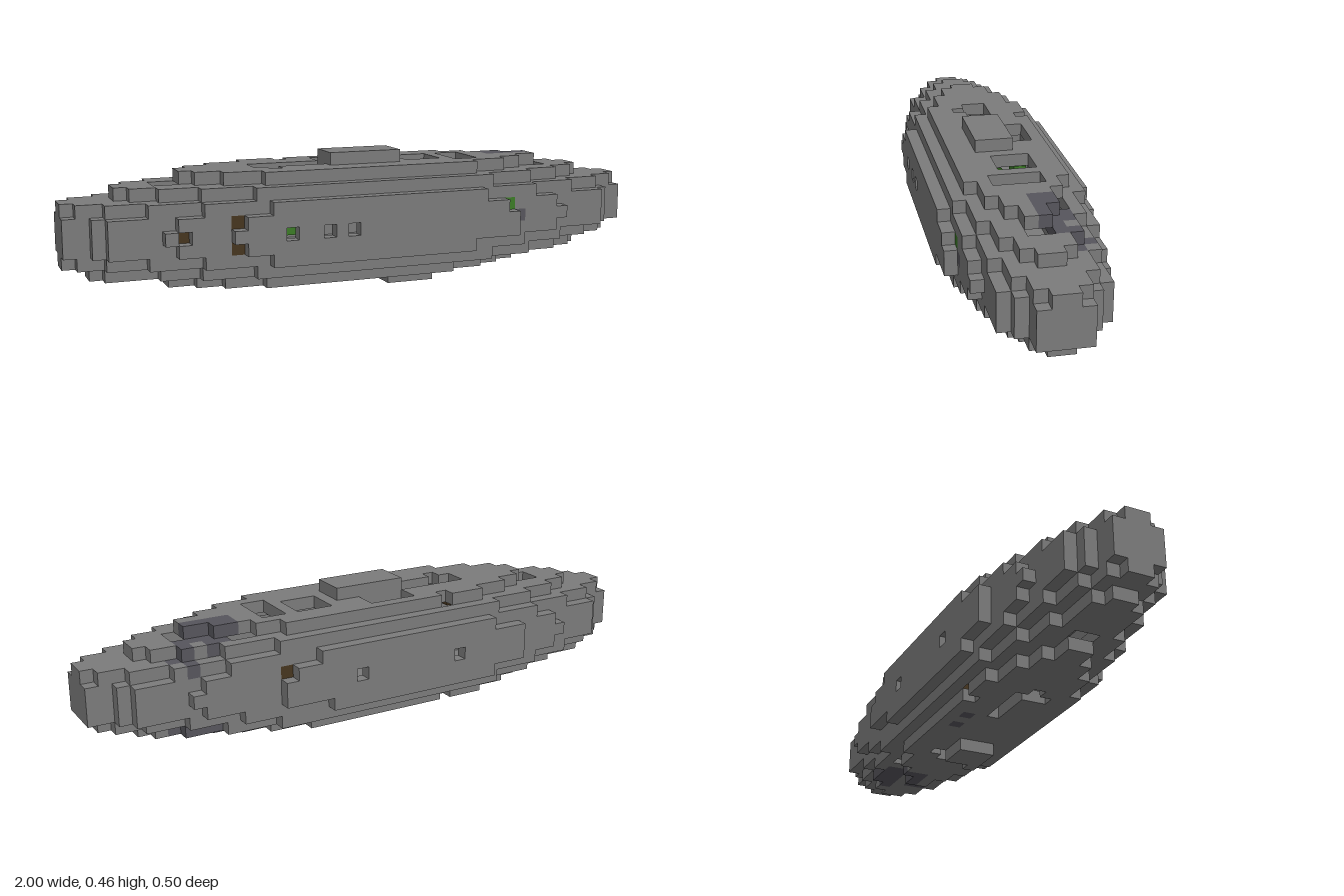
import * as THREE from 'three';

const S = 1 / 24; // block size

// Half-length in blocks: row = height above/below the middle, column = distance from the centre plane
const HALF = [
  [24, 24, 22, 21, 17, 12],
  [24, 24, 22, 21, 16, 12],
  [24, 23, 21, 18, 14, 9],
  [20, 19, 17, 14, 10, 0],
  [16, 14, 12, 9, 0, 0],
];

// Is block (x, y, z) within the solid outline of the hull?
function inHull(x, y, z) {
  const dy = Math.abs(y - 5);
  const k = z >= 0 ? z : -z - 1;
  if (dy > 4 || k > 5) return false;
  const half = HALF[dy][k];
  if (!half) return false;
  let min = -half, max = half - 1;
  if (y === 1) max -= 2;                 // shorter keel at the left end
  if (y === 2 && k < 2) min -= 2;        // longer belly at the right end
  if (y === 3) max -= 1;
  if (k === 5 && z < 0) max -= 2;
  return x >= min && x <= max;
}

const DIRS = [[1, 0, 0], [-1, 0, 0], [0, 1, 0], [0, -1, 0], [0, 0, 1], [0, 0, -1]];

function createBlocks() {
  const blocks = new Map();
  const key = (x, y, z) => `${x},${y},${z}`;
  const fill = (x0, x1, y0, y1, z0, z1, kind, onlyExisting = false) => {
    for (let x = x0; x <= x1; x++)
      for (let y = y0; y <= y1; y++)
        for (let z = z0; z <= z1; z++) {
          const id = key(x, y, z);
          if (onlyExisting && !blocks.has(id)) continue;
          if (kind) blocks.set(id, kind);
          else blocks.delete(id);
        }
  };

  // Hollow hull, one block thick
  for (let x = -24; x < 24; x++)
    for (let y = 0; y < 11; y++)
      for (let z = -6; z < 6; z++)
        if (inHull(x, y, z) && DIRS.some(([a, b, c]) => !inHull(x + a, y + b, z + c)))
          blocks.set(key(x, y, z), 'hull');

  // Raised deck slab and keel slab
  fill(-3, 2, 10, 10, -1, 1, 'hull');
  fill(2, 5, 0, 0, -1, 1, 'hull');

  // Openings in the deck: x0, x1, z0, z1
  for (const [x0, x1, z0, z1] of [
    [-17, -16, -1, 0], [-9, -4, -1, 0], [-8, -8, 1, 1], [-6, -6, -4, -4], [-3, 0, -3, -2],
    [4, 6, -2, 0], [8, 9, -2, 1], [11, 12, -3, -3], [16, 16, -1, 0],
  ]) fill(x0, x1, 7, 9, z0, z1, null);

  // Openings in the belly
  for (const [x0, x1, z0, z1] of [
    [-17, -17, -1, 0], [-9, -8, 0, 0], [-8, -4, -1, -1], [-8, -8, 1, 1], [-6, -6, -4, -4],
    [5, 5, -2, -1], [6, 6, -1, 0], [5, 5, 0, 0], [11, 11, -3, -3],
  ]) fill(x0, x1, 0, 3, z0, z1, null);

  // Portholes along the front, and two at the back
  for (const x of [-8, -5, -3]) fill(x, x, 5, 5, 5, 5, null);
  for (const x of [-6, 3]) fill(x, x, 5, 5, -6, -6, null);

  // Timber in the hull side: x, y, outer z
  for (const [x, y, z] of [[-16, 5, 4], [-12, 6, 5], [-12, 4, 5]]) {
    fill(x, x, y, y, z, z, null);
    fill(x, x, y, y, z - 1, z - 1, 'timber');
  }
  fill(9, 9, 6, 6, -6, -6, null);
  fill(9, 9, 6, 6, -5, -5, 'timber');

  // Timber beams below the deck
  fill(4, 4, 6, 6, -2, 0, 'timber');
  fill(8, 8, 6, 6, -2, 1, 'timber');
  fill(16, 16, 7, 7, -1, 0, 'timber');
  fill(0, 0, 6, 6, -2, -2, 'timber');
  fill(12, 12, 6, 6, -3, -3, 'timber');
  fill(-16, -16, 6, 6, 0, 0, 'timber');

  // Moss
  fill(11, 11, 6, 6, 5, 5, null);
  fill(11, 11, 6, 6, 4, 4, 'moss');
  fill(-6, -5, 4, 4, -2, -2, 'moss');
  fill(9, 9, 7, 7, -3, -3, 'moss');
  fill(-3, -2, 6, 6, -3, -3, 'moss');

  // Scorch marks on deck, side and belly
  for (const [x0, x1, y0, y1, z0, z1] of [
    [12, 16, 8, 9, -2, -1], [13, 14, 8, 9, -3, -3], [16, 17, 7, 8, -3, -3], [16, 16, 7, 7, -4, -4],
    [12, 12, 5, 5, 4, 5], [-3, -3, 1, 1, -3, -3], [-1, -1, 1, 1, -3, -3],
    [15, 16, 2, 2, 0, 1], [13, 17, 2, 2, -3, -2], [11, 13, 1, 1, -2, -1],
  ]) fill(x0, x1, y0, y1, z0, z1, 'scorch', true);

  return blocks;
}

// All exposed faces of one kind of block
function blockGeometry(blocks, kind) {
  const positions = [];
  for (const [id, value] of blocks) {
    if (value !== kind) continue;
    const p = id.split(',').map(Number);
    for (const d of DIRS) {
      if (blocks.has(p.map((v, i) => v + d[i]).join(','))) continue;
      const axis = d.findIndex((v) => v !== 0);
      const u = (axis + 1) % 3, w = (axis + 2) % 3;
      const corner = (a, b) => {
        const c = [...p];
        c[axis] += d[axis] > 0 ? 1 : 0;
        c[u] += a;
        c[w] += b;
        return c.map((v) => v * S);
      };
      const q = [corner(0, 0), corner(1, 0), corner(1, 1), corner(0, 1)];
      if (d[axis] < 0) q.reverse();
      for (const i of [0, 1, 2, 0, 2, 3]) positions.push(...q[i]);
    }
  }
  const geometry = new THREE.BufferGeometry();
  geometry.setAttribute('position', new THREE.Float32BufferAttribute(positions, 3));
  geometry.computeVertexNormals();
  return geometry;
}

export function createModel() {
  const group = new THREE.Group();
  group.name = 'blockShip';
  const blocks = createBlocks();
  const parts = [
    ['hull', 'hullBlocks', 'stoneGrey', 0x7b7b7b],
    ['scorch', 'scorchedBlocks', 'scorchedGrey', 0x56555c],
    ['timber', 'timberBlocks', 'darkTimber', 0x46351f],
    ['moss', 'mossBlocks', 'mossGreen', 0x3b7a26],
  ];
  for (const [kind, name, colourName, color] of parts) {
    const material = new THREE.MeshStandardMaterial({ color });
    material.name = colourName;
    const mesh = new THREE.Mesh(blockGeometry(blocks, kind), material);
    mesh.name = name;
    group.add(mesh);
  }
  return group;
}
